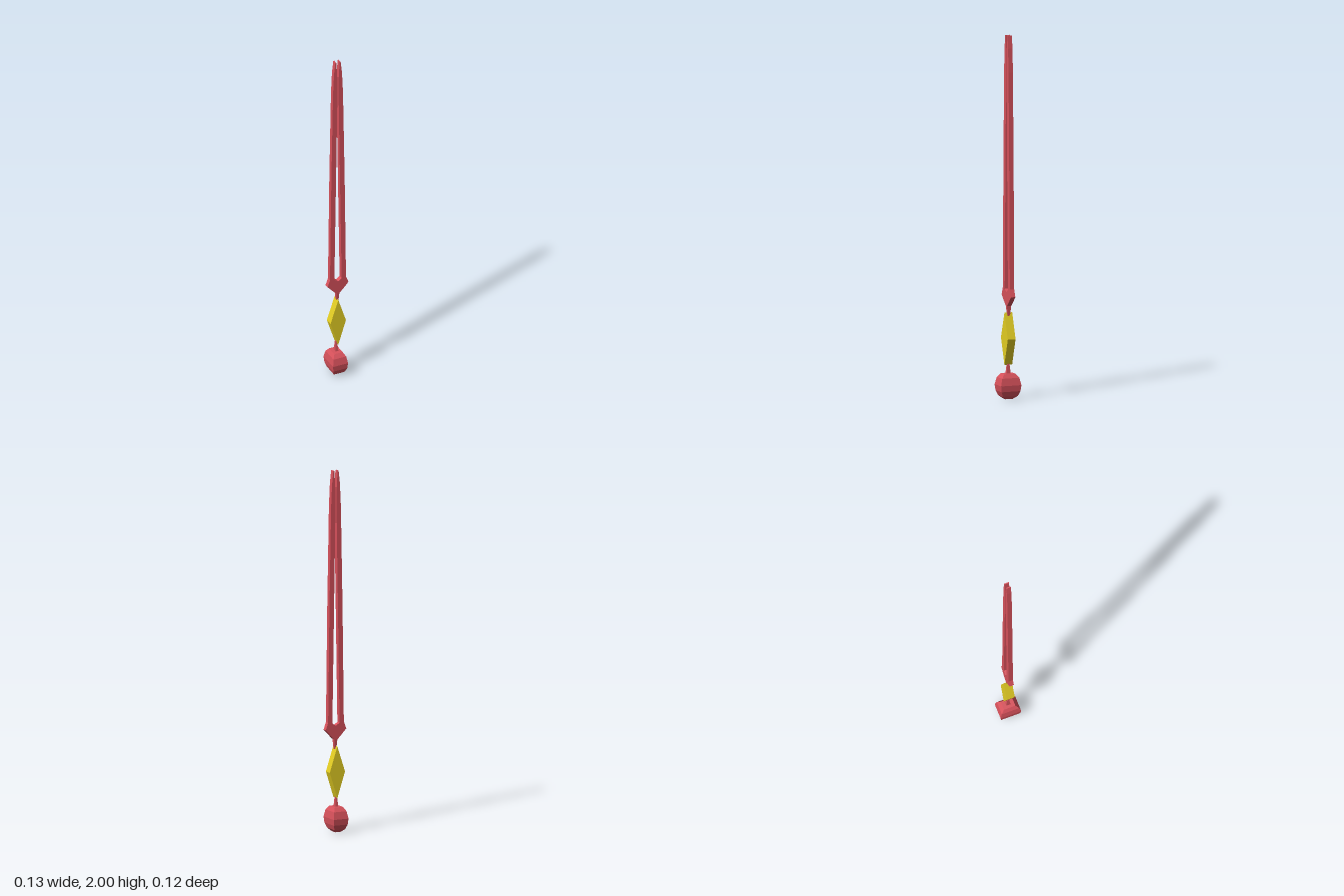
import * as THREE from 'three';

const red = new THREE.MeshStandardMaterial({ color: 0xd9525c, flatShading: true });
const gold = new THREE.MeshStandardMaterial({ color: 0xe6d024, flatShading: true });

// Flat plate of the given thickness, centred on z = 0
function plate(name, points, depth, material) {
  const shape = new THREE.Shape(points.map(([x, y]) => new THREE.Vector2(x, y)));
  const geometry = new THREE.ExtrudeGeometry(shape, { depth, bevelEnabled: false });
  geometry.translate(0, 0, -depth / 2);
  const mesh = new THREE.Mesh(geometry, material);
  mesh.name = name;
  return mesh;
}

// Four-sided solid from [half width, height] rings; depth is a multiple of width
function squareLathe(name, profile, depthRatio, x, material) {
  const points = profile.map(([r, y]) => new THREE.Vector2(r * Math.SQRT2, y));
  const geometry = new THREE.LatheGeometry(points, 4, Math.PI / 4);
  geometry.scale(1, 1, depthRatio);
  const mesh = new THREE.Mesh(geometry, material);
  mesh.name = name;
  mesh.position.x = x;
  return mesh;
}

export function createModel() {
  const sword = new THREE.Group();
  sword.name = 'sword';

  // Forked blade with its guard: right half outline, mirrored
  const half = [
    [0.01, 0.515], [0.035, 0.54], [0.063, 0.57], [0.048, 0.61],
    [0.04, 1.25], [0.03, 1.8], [0.024, 1.93], [0.016, 2],
    [0.01, 2], [0.004, 1.9], [0.004, 1.75], [0.022, 0.605],
  ];
  const mirrored = half.map(([x, y]) => [-x, y]).reverse();
  sword.add(plate('forkedBlade', [...half, [0, 0.59], ...mirrored], 0.026, red));

  // Neck between blade and grip
  sword.add(squareLathe('bladeNeck',
    [[0, 0.46], [0.005, 0.46], [0.009, 0.517], [0, 0.517]], 1.4, 0, red));

  // Diamond grip
  sword.add(plate('diamondGrip',
    [[-0.003, 0.19], [0.043, 0.335], [-0.003, 0.477], [-0.05, 0.335]], 0.046, gold));

  // Neck between grip and pommel
  sword.add(squareLathe('pommelNeck',
    [[0, 0.13], [0.009, 0.135], [0.004, 0.205], [0, 0.205]], 1.4, -0.006, red));

  // Faceted pommel
  sword.add(squareLathe('pommel', [
    [0, 0], [0.016, 0.003], [0.033, 0.02], [0.042, 0.047],
    [0.045, 0.08], [0.038, 0.12], [0.025, 0.142], [0, 0.142],
  ], 1.33, -0.007, red));

  return sword;
}
